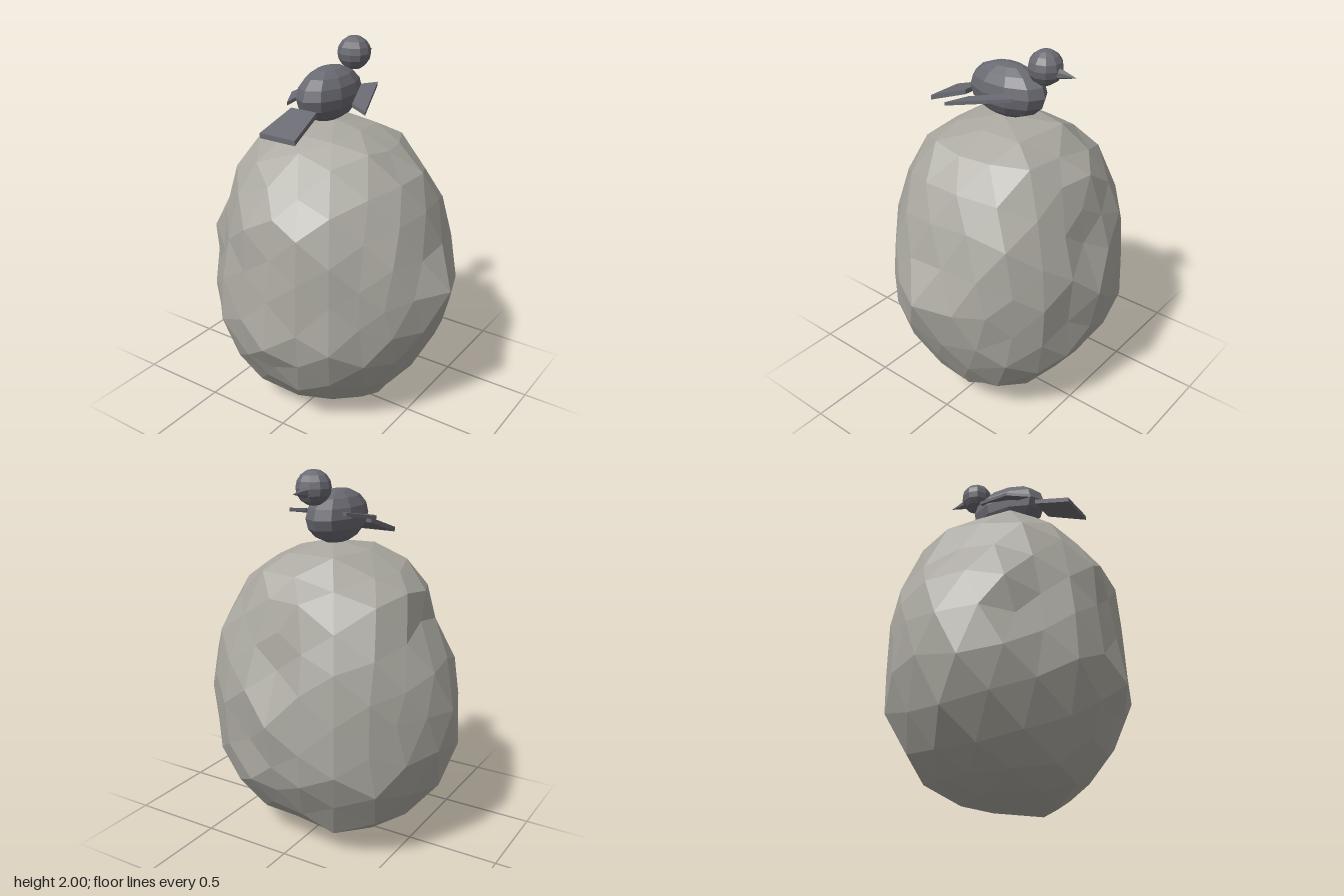
import * as THREE from 'three';

const stone = new THREE.MeshStandardMaterial({ color: 0xaaa8a0, flatShading: true });
const plumage = new THREE.MeshStandardMaterial({ color: 0x6a6a72, flatShading: true });

// Rock radii by height, in eight directions turning from +x through +z, -x and -z
const LEVELS = [0, 0.06, 0.18, 0.37, 0.58, 0.8, 1.0, 1.2, 1.38, 1.5, 1.57, 1.62];
const RADII = [
  [0.28, 0.15, 0.10, 0.20, 0.20, 0.15, 0.10, 0.20],
  [0.33, 0.25, 0.27, 0.35, 0.33, 0.38, 0.20, 0.30],
  [0.41, 0.42, 0.45, 0.50, 0.48, 0.53, 0.36, 0.48],
  [0.54, 0.55, 0.54, 0.62, 0.64, 0.64, 0.55, 0.60],
  [0.65, 0.60, 0.65, 0.66, 0.72, 0.68, 0.61, 0.63],
  [0.71, 0.59, 0.62, 0.66, 0.71, 0.68, 0.65, 0.62],
  [0.64, 0.59, 0.59, 0.64, 0.68, 0.67, 0.57, 0.62],
  [0.58, 0.54, 0.57, 0.58, 0.54, 0.63, 0.53, 0.58],
  [0.50, 0.46, 0.42, 0.52, 0.50, 0.54, 0.46, 0.48],
  [0.33, 0.40, 0.31, 0.43, 0.39, 0.43, 0.36, 0.38],
  [0.20, 0.28, 0.22, 0.30, 0.27, 0.35, 0.31, 0.28],
  [0.05, 0.10, 0.17, 0.15, 0.12, 0.22, 0.10, 0.10],
];
// Chipped hollows: [x, y, z, reach, depth]
const HOLLOWS = [
  [-0.48, 0.82, 0.45, 0.22, 0.06], [0.14, 0.62, -0.57, 0.22, 0.06],
  [0.1, 1.07, -0.55, 0.2, 0.03], [0.3, 0.2, 0.3, 0.2, 0.03],
];

function rockRadius(y, angle) {
  let i = 1;
  while (i < LEVELS.length - 1 && LEVELS[i] < y) i++;
  const t = (y - LEVELS[i - 1]) / (LEVELS[i] - LEVELS[i - 1]);
  const turn = ((angle / (Math.PI / 4)) + 8) % 8;
  const k = Math.floor(turn), next = (k + 1) % 8;
  const at = row => THREE.MathUtils.lerp(row[k], row[next], turn - k);
  return THREE.MathUtils.lerp(at(RADII[i - 1]), at(RADII[i]), t);
}

// Repeatable value in 0..1 shared by coincident vertices
function hash(v, seed) {
  const k = Math.round(v.x * 50) * 12.99 + Math.round(v.y * 50) * 78.23 + Math.round(v.z * 50) * 37.72;
  const s = Math.sin(k + seed) * 43758.5453;
  return s - Math.floor(s);
}

function makeRock() {
  const geometry = new THREE.IcosahedronGeometry(1, 3);
  const position = geometry.attributes.position;
  const d = new THREE.Vector3(), p = new THREE.Vector3();
  for (let i = 0; i < position.count; i++) {
    d.fromBufferAttribute(position, i);
    const ring = Math.hypot(d.x, d.z);
    const c = ring > 0.001 ? d.x / ring : 0, s = ring > 0.001 ? d.z / ring : 0;
    const y = 0.81 + 0.81 * d.y;
    const radius = rockRadius(y, Math.atan2(s, c)) * (1.02 - 0.05 * hash(d, 1));
    p.set(c * radius, y, s * radius);
    if (ring > 0.3) p.y += (hash(d, 7) - 0.5) * 0.05;
    for (const [hx, hy, hz, reach, depth] of HOLLOWS) {
      const gap = Math.hypot(p.x - hx, p.y - hy, p.z - hz);
      if (gap < reach) {
        const push = depth * (1 - gap / reach);
        p.x -= c * push;
        p.z -= s * push;
      }
    }
    position.setXYZ(i, p.x, p.y, p.z);
  }
  geometry.computeVertexNormals();
  return geometry;
}

// Thin plate over four corners, ordered back-right, back-left, front-left, front-right
function makePlate(corners, thickness) {
  const geometry = new THREE.BoxGeometry(1, 1, 1);
  const position = geometry.attributes.position;
  for (let i = 0; i < position.count; i++) {
    const left = position.getX(i) > 0, front = position.getZ(i) > 0;
    const [x, y, z] = corners[front ? (left ? 2 : 3) : (left ? 1 : 0)];
    position.setXYZ(i, x, y + Math.sign(position.getY(i)) * thickness / 2, z);
  }
  geometry.computeVertexNormals();
  return geometry;
}

function addMesh(parent, name, geometry, material) {
  const mesh = new THREE.Mesh(geometry, material);
  mesh.name = name;
  parent.add(mesh);
  return mesh;
}

export function createModel() {
  const model = new THREE.Group();
  model.name = 'birdOnRock';
  addMesh(model, 'rock', makeRock(), stone);

  // Bird perched on top, looking towards the back
  const bird = new THREE.Group();
  bird.name = 'bird';
  model.add(bird);

  const body = addMesh(bird, 'body', new THREE.SphereGeometry(1, 10, 8), plumage);
  body.scale.set(0.23, 0.14, 0.13);
  body.rotation.y = Math.PI / 2;
  body.position.set(-0.036, 1.747, -0.01);

  const head = addMesh(bird, 'head', new THREE.SphereGeometry(0.089, 10, 8), plumage);
  head.position.set(-0.036, 1.911, -0.237);

  const beak = addMesh(bird, 'beak', new THREE.ConeGeometry(0.03, 0.11, 6), plumage);
  beak.rotation.x = -Math.PI / 2;
  beak.position.set(-0.036, 1.897, -0.362);

  addMesh(bird, 'tail', makePlate([
    [-0.115, 1.695, 0.21], [0.04, 1.695, 0.21], [0.07, 1.617, 0.43], [-0.142, 1.617, 0.43],
  ], 0.026), plumage);
  addMesh(bird, 'leftWing', makePlate([
    [0.085, 1.778, -0.12], [0.145, 1.783, -0.183], [0.275, 1.724, 0.14], [0.165, 1.734, 0.085],
  ], 0.018), plumage);
  addMesh(bird, 'rightWing', makePlate([
    [-0.16, 1.775, -0.13], [-0.1, 1.78, -0.12], [-0.15, 1.718, 0.2], [-0.21, 1.735, 0.08],
  ], 0.018), plumage);

  return model;
}
